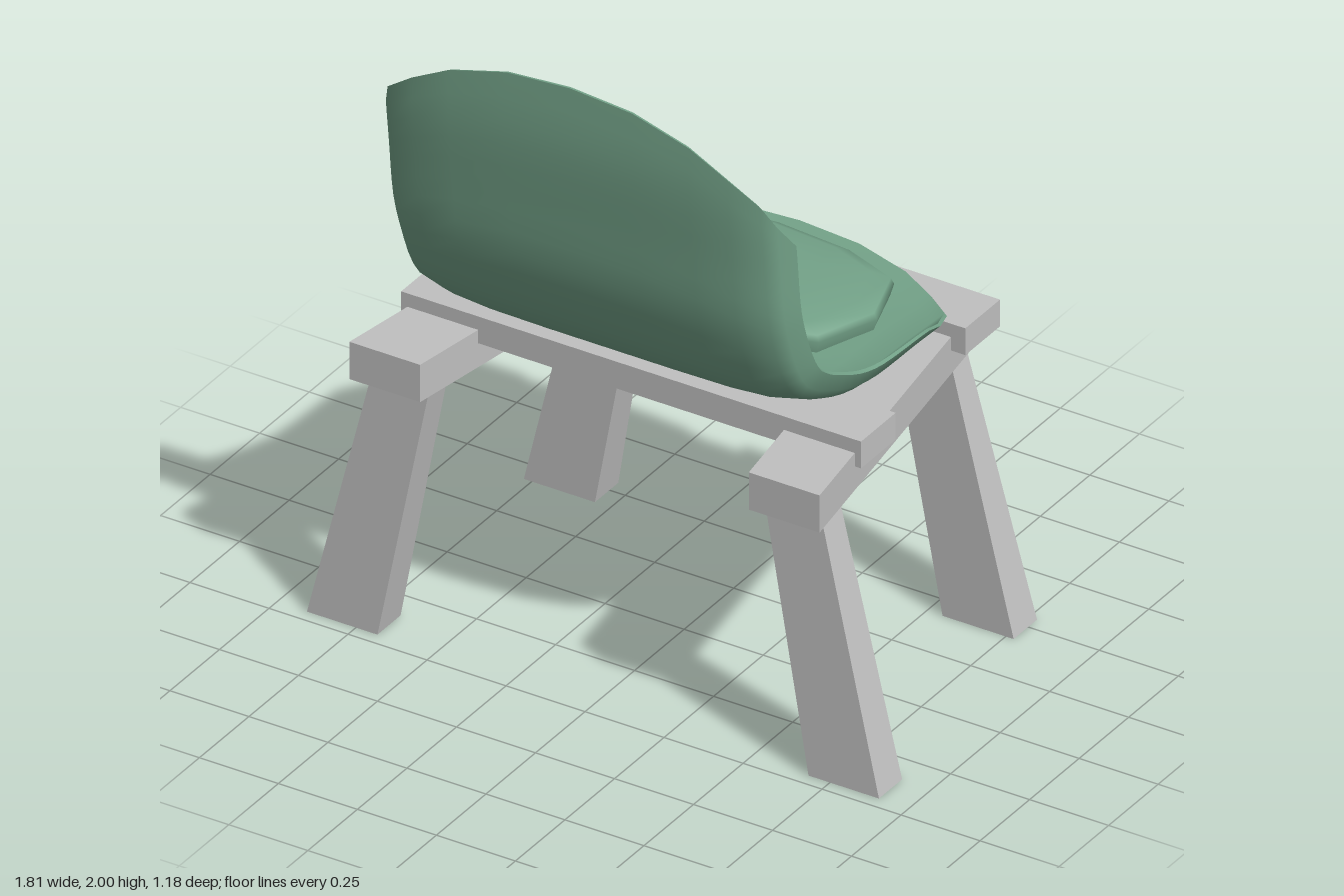
import * as THREE from 'three';

const green = new THREE.MeshStandardMaterial({ color: 0x74a389 });
green.name = 'green shell';
const grey = new THREE.MeshStandardMaterial({ color: 0xc0c0c0 });
grey.name = 'grey wood';

function add(group, name, geometry, material) {
  const mesh = new THREE.Mesh(geometry, material);
  mesh.name = name;
  group.add(mesh);
  return mesh;
}

function buildGeometry(positions, index) {
  const geo = new THREE.BufferGeometry();
  geo.setAttribute('position', new THREE.Float32BufferAttribute(positions, 3));
  geo.setIndex(index);
  geo.computeVertexNormals();
  return geo;
}

// Side profile of the shell (z, y) from the top of the back to the seat lip
const profile = new THREE.CatmullRomCurve3([
  [0.58, 2.0], [0.588, 1.82], [0.567, 1.6], [0.53, 1.35], [0.415, 1.11],
  [0.24, 1.01], [0.07, 0.962], [-0.2, 0.96], [-0.4, 0.96], [-0.585, 0.975],
].map(([z, y]) => new THREE.Vector3(0, y, z)));
profile.arcLengthDivisions = 400;

// Half cross-section: x, end trim (rounded corners), lift of the side rim, thickness
const half = [
  [0, 0, 0, 0.03], [0.2, 0.015, 0, 0.03], [0.38, 0.065, 0.002, 0.03], [0.5, 0.13, 0.01, 0.028],
  [0.59, 0.2, 0.032, 0.022], [0.62, 0.28, 0.065, 0.016], [0.64, 0.37, 0.118, 0.006],
];
const columns = [
  ...half.slice(1).reverse().map(([x, ...rest]) => [-x, ...rest]),
  ...half,
];

// Curved shell: outer skin, inner skin and the thin rim joining them
function shellGeometry() {
  const rows = 26, n = columns.length, length = profile.getLength();
  const outer = [], inner = [];
  for (let i = 0; i <= rows; i++) {
    for (const [x, trim, lift, thick] of columns) {
      const a = trim / length;
      const s = a + (1 - 2 * a) * i / rows;
      const p = profile.getPointAt(s), t = profile.getTangentAt(s);
      const fade = s < 0.5 ? 1 : 1 - 1.2 * (s - 0.5);
      const edge = Math.min(1, 0.25 + 3 * Math.min(i, rows - i) / rows);
      const place = (out, px, d) => out.push(px, p.y - t.z * d, p.z + t.y * d);
      place(outer, x, lift * fade);
      place(inner, x * 0.985, lift * fade + thick * edge);
    }
  }
  const index = [], inside = [], count = outer.length / 3;
  for (let i = 0; i < rows; i++) {
    for (let j = 0; j < n - 1; j++) {
      const a = i * n + j, b = a + n, c = a + 1, d = b + 1;
      index.push(a, b, c, c, b, d);
      inside.push(a, c, b, c, d, b);
    }
  }
  inside.forEach((k) => index.push(k + count));

  // Perimeter loop, with its own vertices so the rim stays crisp
  const loop = [];
  for (let j = 0; j < n - 1; j++) loop.push(j);
  for (let i = 0; i < rows; i++) loop.push(i * n + n - 1);
  for (let j = n - 1; j > 0; j--) loop.push(rows * n + j);
  for (let i = rows; i > 0; i--) loop.push(i * n);
  const positions = [...outer, ...inner];
  const start = positions.length / 3;
  loop.forEach((k) => positions.push(...outer.slice(k * 3, k * 3 + 3), ...inner.slice(k * 3, k * 3 + 3)));
  loop.forEach((_, k) => {
    const a = start + 2 * k, b = start + 2 * ((k + 1) % loop.length);
    index.push(a, b, a + 1, b, b + 1, a + 1);
  });
  return buildGeometry(positions, index);
}

// Twelve-sided domed seat pad with a squared-off oval outline
function cushionGeometry() {
  const points = [[0.97, 0.975], [1, 1.02], [0.98, 1.038], [0.86, 1.054], [0.55, 1.064], [0, 1.067]]
    .map(([r, y]) => new THREE.Vector2(r, y));
  const geo = new THREE.LatheGeometry(points, 12);
  const pos = geo.attributes.position;
  for (let i = 0; i < pos.count; i++) {
    const x = pos.getX(i), z = pos.getZ(i);
    const r = Math.hypot(x, z) || 1;
    const zz = Math.sign(z) * Math.pow(Math.abs(z) / r, 0.55) * r * 0.277;
    pos.setXYZ(i, x * 0.48, pos.getY(i) + zz * 0.03, zz - 0.208);
  }
  geo.computeVertexNormals();
  return geo;
}

// Box whose corners are remapped by a rule (u, v, w in 0..1)
function shapedBox(rule) {
  const geo = new THREE.BoxGeometry(1, 1, 1);
  const pos = geo.attributes.position;
  for (let i = 0; i < pos.count; i++) {
    pos.setXYZ(i, ...rule(pos.getX(i) + 0.5, pos.getY(i) + 0.5, pos.getZ(i) + 0.5));
  }
  geo.computeVertexNormals();
  return geo;
}

const mix = THREE.MathUtils.lerp;

// Tapered leg: x and z ranges at the foot and at the top; side mirrors it
function legGeometry(side, foot, top) {
  return shapedBox((u, v, w) => {
    const k = side > 0 ? u : 1 - u;
    const x = mix(mix(foot[0], foot[1], k), mix(top[0], top[1], k), v);
    const z = mix(mix(foot[2], foot[3], w), mix(top[2], top[3], w), v);
    return [side * x, v * 0.81, z];
  });
}

// Side rail, slanting inwards towards -z
function railGeometry(side) {
  return shapedBox((u, v, w) => {
    const k = side > 0 ? u : 1 - u;
    return [side * (mix(0.352, 0.52, w) + 0.224 * k), mix(0.805, 0.922, v), mix(-0.59, 0.503, w)];
  });
}

export function createModel() {
  const model = new THREE.Group();
  model.name = 'chair';

  add(model, 'seatShell', shellGeometry(), green);
  add(model, 'seatCushion', cushionGeometry(), green);

  const frame = new THREE.Group();
  frame.name = 'frame';
  model.add(frame);
  for (const side of [1, -1]) {
    const word = side > 0 ? 'left' : 'right';
    add(frame, word + 'Rail', railGeometry(side), grey);
    add(frame, word + 'WideLeg',
      legGeometry(side, [0.682, 0.905, 0.343, 0.46], [0.53, 0.71, 0.345, 0.44]), grey);
    add(frame, word + 'NarrowLeg',
      legGeometry(side, [0.55, 0.775, -0.545, -0.427], [0.4, 0.58, -0.5, -0.42]), grey);
  }

  // Cross slats let into the rails
  for (const [name, width, z, depth] of [
    ['backrestSlat', 1.455, 0.18, 0.175],
    ['lipSlat', 1.31, -0.462, 0.175],
  ]) {
    add(frame, name, new THREE.BoxGeometry(width, 0.084, depth), grey).position.set(0, 0.922, z);
  }
  return model;
}
